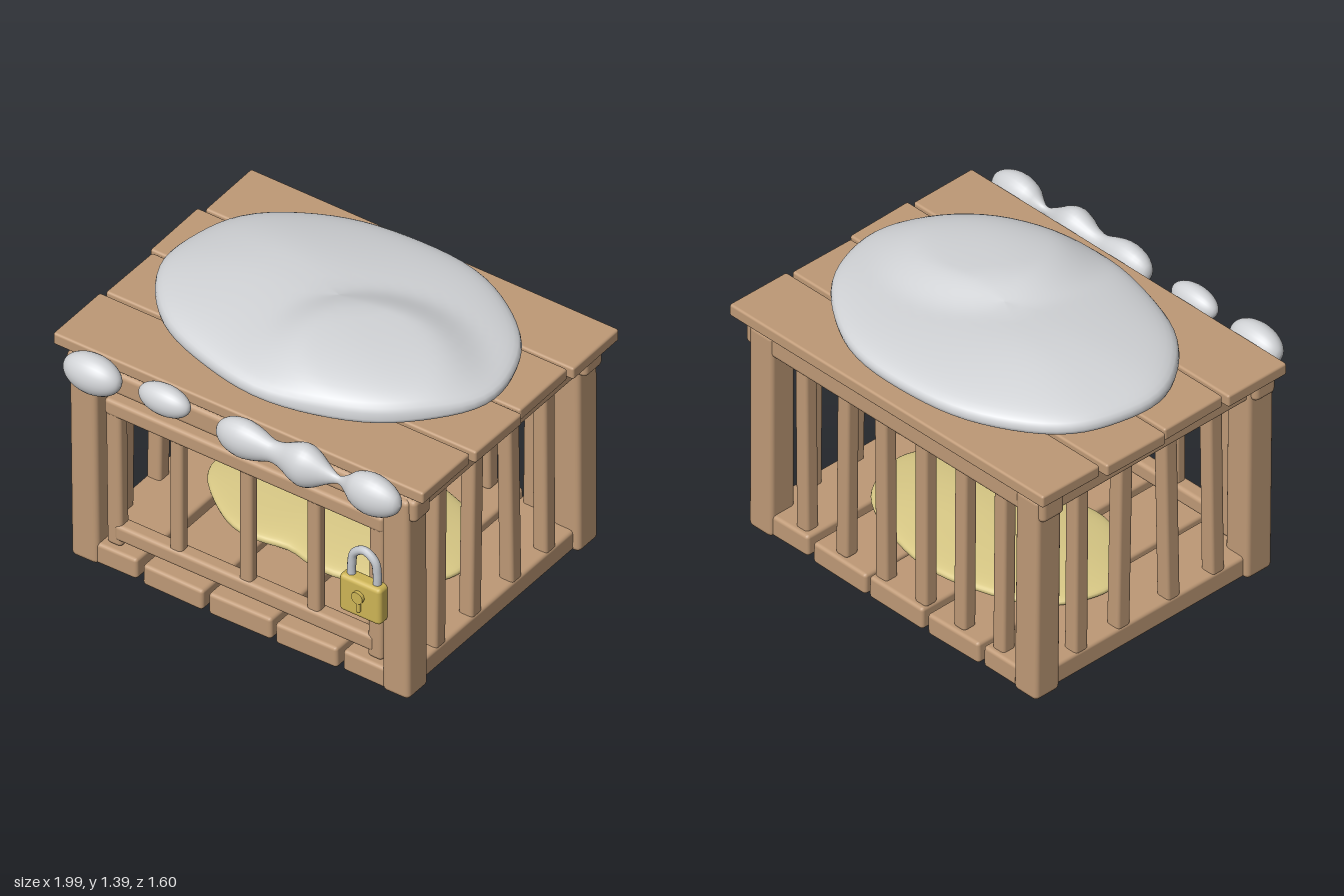
import * as THREE from 'three';
import { RoundedBoxGeometry } from 'three/addons/geometries/RoundedBoxGeometry.js';

const mat = (name, color) => {
  const m = new THREE.MeshStandardMaterial({ color });
  m.name = name;
  return m;
};

// Soft flattened mound: rings run from the top centre over the rim to the underside.
function moundGeometry({ cx, cz, rx, rz, outline, top, rim, bottom }) {
  const rings = 32, segs = 72, pos = [], idx = [];
  for (let i = 0; i <= rings; i++) {
    const phi = (i / rings) * Math.PI;
    const s = Math.sin(phi), c = Math.cos(phi);
    for (let j = 0; j < segs; j++) {
      const a = (j / segs) * Math.PI * 2;
      const k = s * outline(a);
      const x = cx + rx * k * Math.cos(a), z = cz + rz * k * Math.sin(a);
      const y = c >= 0
        ? rim + (top(x, z) - rim) * Math.pow(c, 0.75)
        : rim - (rim - bottom) * Math.pow(-c, 0.6);
      pos.push(x, y, z);
      if (i < rings) {
        const n = (j + 1) % segs;
        const p = i * segs + j, d = i * segs + n, b = p + segs, e = d + segs;
        idx.push(p, d, b, d, e, b);
      }
    }
  }
  const g = new THREE.BufferGeometry();
  g.setAttribute('position', new THREE.Float32BufferAttribute(pos, 3));
  g.setIndex(idx);
  g.computeVertexNormals();
  return g;
}

const bump = (x, z, bx, bz, w) => Math.exp(-((x - bx) ** 2 + (z - bz) ** 2) / (w * w));
const smooth = (v, a, b) => THREE.MathUtils.smoothstep(v, a, b);

export function createModel() {
  const model = new THREE.Group();
  model.name = 'snowyCage';
  const wood = mat('wood', 0xbe9976);
  const snow = mat('snow', 0xd2d4d7);
  const straw = mat('straw', 0xd8c885);
  const brass = mat('brass', 0xcdb455);
  const steel = mat('steel', 0xc2c6cc);

  const add = (name, geo, material, parent = model) => {
    const m = new THREE.Mesh(geo, material);
    m.name = name;
    parent.add(m);
    return m;
  };
  // Rounded block given by its extents
  const block = (name, x0, x1, y0, y1, z0, z1, material = wood, radius = 0.018, parent = model) => {
    const w = x1 - x0, h = y1 - y0, d = z1 - z0;
    const m = add(name, new RoundedBoxGeometry(w, h, d, 2, Math.min(radius, w / 2.1, h / 2.1, d / 2.1)), material, parent);
    m.position.set((x0 + x1) / 2, (y0 + y1) / 2, (z0 + z1) / 2);
    return m;
  };

  // Floor planks, running front to back
  [[-0.87, -0.55, 0.02, 0.13], [-0.52, -0.2, 0.01, 0.12], [-0.17, 0.165, 0.01, 0.125],
    [0.185, 0.515, 0.01, 0.12], [0.545, 0.87, 0.02, 0.13]].forEach(([a, b, y0, y1], i) => {
    const p = block('floorPlank', a, b, y0, y1, -0.755, 0.65);
    p.rotation.z = [0.01, -0.015, 0.012, 0.02, -0.01][i];
  });

  // Corner posts, side rails and side bars
  for (const s of [-1, 1]) {
    for (const [z0, z1] of [[0.505, 0.66], [-0.77, -0.62]]) {
      const post = block('cornerPost', s * 0.83 - 0.072, s * 0.83 + 0.072, 0.015, 1.1, z0, z1, wood, 0.025);
      post.rotation.z = s > 0 ? 0.003 : 0.012;
    }
    block('sideTopRail', s * 0.83 - 0.06, s * 0.83 + 0.06, 0.98, 1.105, -0.7, 0.6);
    [[0.355, 0.015], [0.085, 0.02], [-0.2, -0.02], [-0.46, -0.008]].forEach(([z, t]) => {
      block('sideBar', s * 0.83 - 0.038, s * 0.83 + 0.038, 0.11, 1.0, z - 0.04, z + 0.04).rotation.x = -t;
    });
  }

  // Front and back top rails with ends standing proud of the posts
  block('frontTopRail', -0.935, 0.93, 0.985, 1.105, 0.52, 0.645, wood, 0.025);
  block('backTopRail', -0.93, 0.935, 0.985, 1.105, -0.76, -0.625, wood, 0.025);

  // Back bars
  [-0.62, -0.375, -0.13, 0.12, 0.36, 0.615].forEach((x, i) => {
    block('backBar', x - 0.037, x + 0.037, 0.11, 1.0, -0.73, -0.655).rotation.z = [0.01, 0.008, 0, -0.008, 0.01, -0.01][i];
  });

  // Barred door
  const door = new THREE.Group();
  door.name = 'door';
  model.add(door);
  block('doorTopRail', -0.745, 0.74, 0.835, 0.922, 0.545, 0.625, wood, 0.02, door);
  block('doorBottomRail', -0.69, 0.69, 0.165, 0.25, 0.545, 0.625, wood, 0.02, door);
  for (const s of [-1, 1]) {
    block('doorStile', s * 0.698 - 0.04, s * 0.698 + 0.04, 0.13, 0.915, 0.55, 0.62, wood, 0.02, door).rotation.z = -s * 0.012;
  }
  for (const x of [-0.37, 0, 0.36]) {
    block('doorBar', x - 0.034, x + 0.034, 0.22, 0.86, 0.555, 0.615, wood, 0.018, door);
  }

  // Roof planks, running side to side
  [[-0.97, 0.99, -0.8, -0.455, 0.012], [-1, 0.97, -0.44, -0.085, 0.015],
    [-0.98, 0.99, -0.072, 0.277, -0.015], [-1, 0.97, 0.292, 0.645, 0]].forEach(([x0, x1, z0, z1, t]) => {
    block('roofPlank', x0, x1, 1.115, 1.178, z0, z1, wood, 0.012).rotation.x = t;
  });

  // Snow mound on the roof: a rear drift overlapped by a fuller front drift
  add('roofSnow', moundGeometry({
    cx: -0.005, cz: -0.1, rx: 0.865, rz: 0.64, rim: 1.23, bottom: 1.165,
    outline: (a) => 1 + 0.008 * Math.sin(a * 5 + 1) + 0.005 * Math.sin(a * 9),
    top: (x, z) => {
      const edge = Math.hypot((x - 0.36) / 0.52, (z - 0.16) / 0.5);
      return 1.325 + 0.05 * bump(x, z, -0.42, -0.2, 0.42) + 0.065 * (1 - smooth(edge, 0.55, 1.05))
        + 0.02 * smooth(z, -0.2, 0.4);
    },
  }), snow);

  // Straw bedding
  add('strawBedding', moundGeometry({
    cx: 0, cz: -0.13, rx: 0.66, rz: 0.42, rim: 0.155, bottom: 0.115,
    outline: (a) => 1 - 0.14 * Math.exp(-(((a - 1.65) / 0.25) ** 2)) + 0.012 * Math.sin(a * 7),
    top: (x, z) => 0.195 + 0.028 * bump(x, z, 0.3, -0.1, 0.35) + 0.015 * bump(x, z, -0.3, -0.15, 0.35),
  }), straw);

  // Snow lumps along the front eave: lathed along x, flattened front to back
  const lump = (points, y, z, depth) => {
    const curve = new THREE.SplineCurve(points.map(([x, r]) => new THREE.Vector2(r, x)));
    const pts = curve.getPoints(48).map((p) => new THREE.Vector2(Math.max(p.x, 0), p.y));
    const g = new THREE.LatheGeometry(pts, 28);
    g.rotateZ(-Math.PI / 2);
    g.scale(1, 1, depth);
    const m = add('eaveSnow', g, snow);
    m.position.set(0, y, z);
  };
  const oval = (x0, x1, r) => Array.from({ length: 13 }, (_, i) => {
    const a = (i / 12) * Math.PI;
    return [(x0 + x1) / 2 - Math.cos(a) * (x1 - x0) / 2, r * Math.sin(a)];
  });
  lump(oval(-0.885, -0.59, 0.096), 1.115, 0.715, 0.85);
  lump(oval(-0.49, -0.225, 0.075), 1.14, 0.71, 0.85);
  lump([[-0.07, 0], [-0.06, 0.04], [-0.01, 0.08], [0.07, 0.096], [0.15, 0.08], [0.22, 0.056], [0.28, 0.066],
    [0.34, 0.095], [0.395, 0.108], [0.45, 0.09], [0.52, 0.045], [0.575, 0.02], [0.62, 0.045], [0.67, 0.086],
    [0.75, 0.104], [0.83, 0.085], [0.885, 0.045], [0.9, 0]], 1.122, 0.715, 0.75);

  // Padlock
  const lock = new THREE.Group();
  lock.name = 'padlock';
  model.add(lock);
  block('lockBody', 0.573, 0.795, 0.412, 0.61, 0.645, 0.72, brass, 0.022, lock);
  const disc = add('keyholeDisc', new THREE.CylinderGeometry(0.03, 0.03, 0.03, 20), brass, lock);
  disc.rotation.x = Math.PI / 2;
  disc.position.set(0.683, 0.532, 0.722);
  block('keyholeSlot', 0.672, 0.694, 0.45, 0.53, 0.71, 0.733, brass, 0.008, lock);
  const path = new THREE.CatmullRomCurve3([[0.617, 0.58], [0.617, 0.66], [0.63, 0.725], [0.685, 0.76],
    [0.74, 0.725], [0.753, 0.66], [0.753, 0.58]].map(([x, y]) => new THREE.Vector3(x, y, 0.68)));
  add('shackle', new THREE.TubeGeometry(path, 36, 0.02, 12), steel, lock);

  return model;
}
